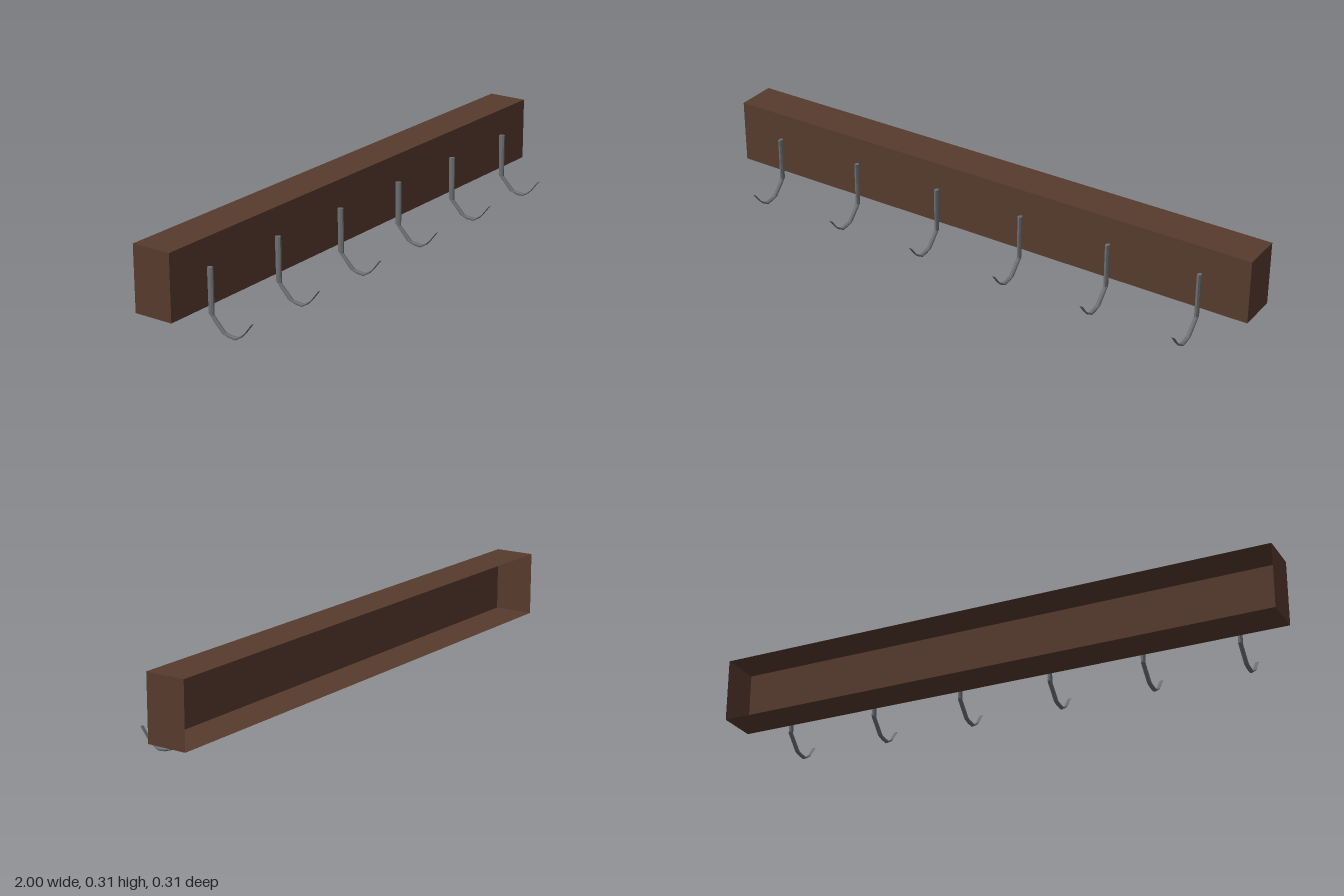
import * as THREE from 'three';

const wood = new THREE.MeshStandardMaterial({ color: 0x573b2d, side: THREE.DoubleSide });
wood.name = 'darkWood';
const metal = new THREE.MeshStandardMaterial({ color: 0x6c6f72, flatShading: true });
metal.name = 'greyMetal';

// Hook cross-sections from stem top to tip: inner z, inner y, outer z, outer y
const SECTIONS = [
  [0.008, 0.219, -0.013, 0.217],
  [0.008, 0.062, -0.011, 0.065],
  [0.055, 0.015, 0.038, 0.012],
  [0.076, 0.0135, 0.065, 0.003],
  [0.097, 0.012, 0.091, 0.001],
  [0.118, 0.025, 0.116, 0.016],
  [0.131, 0.034, 0.129, 0.031],
  [0.157, 0.068, 0.157, 0.067],
];

// Faceted rod swept through the sections, with both ends capped
function hookGeometry(sides = 8, halfWidth = 0.0068) {
  const pos = [], index = [];
  for (const [zi, yi, zo, yo] of SECTIONS) {
    for (let j = 0; j < sides; j++) {
      const a = ((j + 0.5) / sides) * Math.PI * 2;
      const s = Math.sin(a) / Math.sin(Math.PI * (0.5 - 1 / sides));
      pos.push(
        -halfWidth * Math.cos(a) / Math.cos(Math.PI / sides),
        (yi + yo) / 2 + s * (yo - yi) / 2,
        (zi + zo) / 2 + s * (zo - zi) / 2
      );
    }
  }
  const last = (SECTIONS.length - 1) * sides;
  for (let i = 0; i < last; i += sides) {
    for (let j = 0; j < sides; j++) {
      const k = (j + 1) % sides;
      index.push(i + j, i + k, i + sides + k, i + j, i + sides + k, i + sides + j);
    }
  }
  for (let j = 1; j < sides - 1; j++) {
    index.push(0, j + 1, j, last, last + j, last + j + 1);
  }
  const g = new THREE.BufferGeometry();
  g.setAttribute('position', new THREE.Float32BufferAttribute(pos, 3));
  g.setIndex(index);
  const flat = g.toNonIndexed();
  flat.computeVertexNormals();
  return flat;
}

export function createModel() {
  const model = new THREE.Group();
  model.name = 'hookRail';

  // Hollow wooden rail made of thin panels, open at the back
  const rail = new THREE.Group();
  rail.name = 'rail';
  const W = 2, H = 0.224, D = 0.142;
  const panel = (name, w, h, position, rx, ry) => {
    const m = new THREE.Mesh(new THREE.PlaneGeometry(w, h), wood);
    m.name = name;
    m.position.set(...position);
    m.rotation.set(rx, ry, 0);
    rail.add(m);
  };
  panel('frontPanel', W, H, [0, 0, D / 2], 0, 0);
  for (const s of [1, -1]) {
    panel(s > 0 ? 'topPanel' : 'bottomPanel', W, D, [0, s * H / 2, 0], -s * Math.PI / 2, 0);
    panel(s > 0 ? 'leftEnd' : 'rightEnd', D, H, [s * W / 2, 0, 0], 0, s * Math.PI / 2);
  }
  rail.position.set(0, 0.199, -0.086);
  model.add(rail);

  // Six evenly spaced hooks
  const geometry = hookGeometry();
  for (let i = 0; i < 6; i++) {
    const hook = new THREE.Mesh(geometry, metal);
    hook.name = 'hook' + (i + 1);
    hook.position.x = (i - 2.5) * 0.332;
    model.add(hook);
  }
  return model;
}
